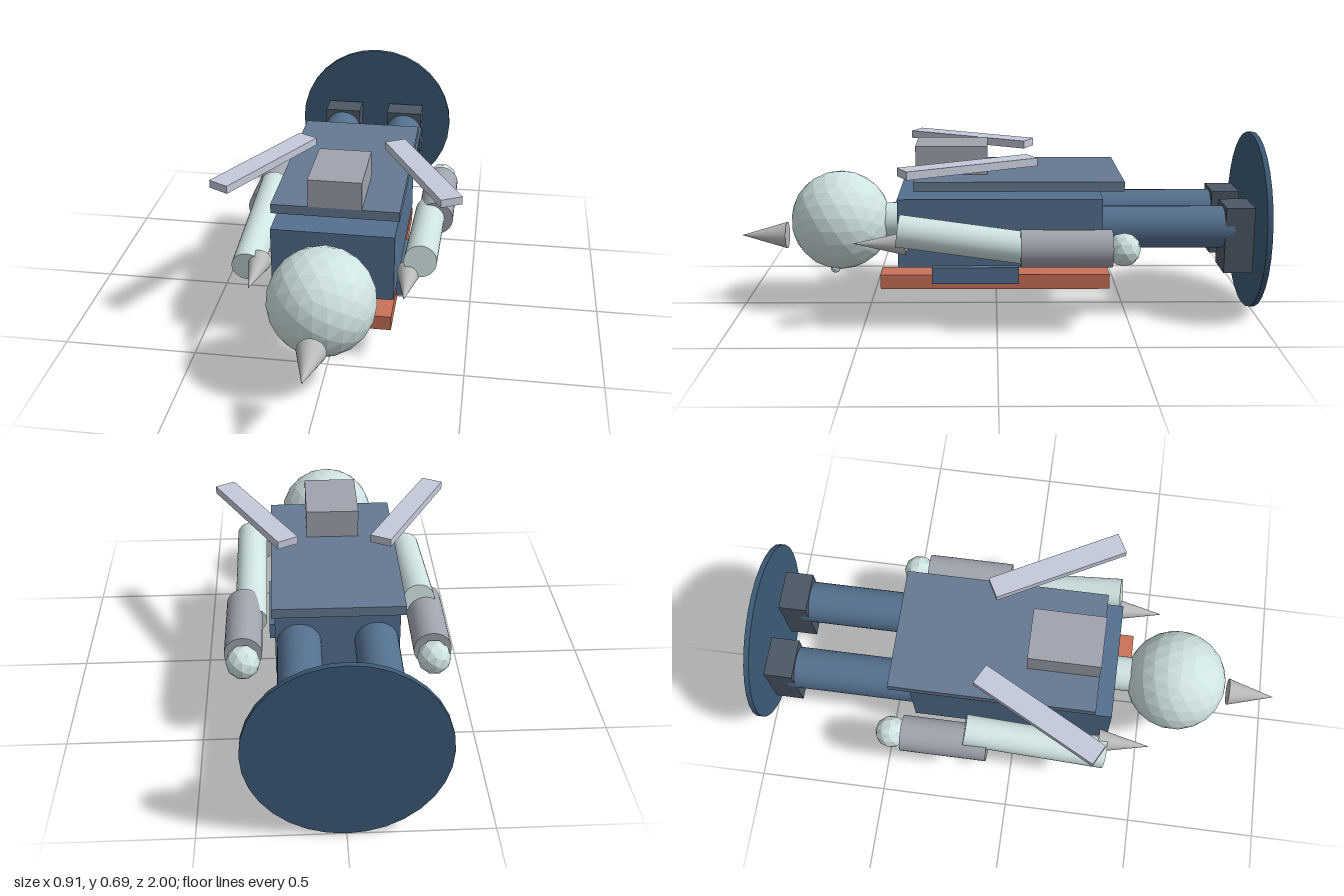
import * as THREE from 'three';

const mat = (color, flatShading = false) => new THREE.MeshStandardMaterial({ color, flatShading });
const PALE = mat(0xcfe3e2), PALE_FLAT = mat(0xcfe3e2, true);
const NAVY = mat(0x3c5a76), BLUE = mat(0x54708f), SLATE = mat(0x667a92), BOOT = mat(0x4b5865);
const STEEL = mat(0xa0a4ae), SILVER = mat(0xc4cadb), METAL = mat(0xb8bab9);
const BRASS = mat(0xd9c582), RUST = mat(0xcb7258);

export function createModel() {
  const model = new THREE.Group();

  const add = (name, geometry, material, x, y, z) => {
    const mesh = new THREE.Mesh(geometry, material);
    mesh.name = name;
    mesh.position.set(x, y, z);
    model.add(mesh);
    return mesh;
  };
  // Box given by its limits on each axis
  const box = (name, material, [x0, x1], [y0, y1], [z0, z1]) =>
    add(name, new THREE.BoxGeometry(x1 - x0, y1 - y0, z1 - z0), material,
      (x0 + x1) / 2, (y0 + y1) / 2, (z0 + z1) / 2);
  // Cylinder or cone lying along z, pointing to the front
  const rod = (name, material, x, y, z0, z1, rBack, rFront = rBack) => {
    const g = new THREE.CylinderGeometry(rFront, rBack, z1 - z0, 32).rotateX(Math.PI / 2);
    return add(name, g, material, x, y, (z0 + z1) / 2);
  };
  const ball = (name, material, r, detail, x, y, z) =>
    add(name, new THREE.IcosahedronGeometry(r, detail), material, x, y, z);

  // Base disc, trunk and plates
  rod('baseDisc', NAVY, 0, 0.343, -1, -0.98, 0.343);
  box('torso', BLUE, [-0.226, 0.226], [0.216, 0.477], [-0.393, 0.37]);
  box('chestPlate', BLUE, [-0.252, 0.252], [0.158, 0.222], [-0.083, 0.243]);
  box('backPlate', SLATE, [-0.236, 0.236], [0.509, 0.545], [-0.47, 0.307]);
  box('backpack', STEEL, [-0.099, 0.099], [0.545, 0.653], [0.035, 0.307]);

  // Head, neck and spike
  rod('neck', PALE, 0, 0.343, 0.35, 0.46, 0.067);
  ball('head', PALE_FLAT, 0.193, 3, 0, 0.343, 0.608);
  rod('headSpike', METAL, 0, 0.281, 0.822, 1, 0.052, 0);

  // Rail and two rows of pouches on the chest side
  box('rail', RUST, [0.12, 0.225], [0.13, 0.186], [-0.425, 0.438]);
  for (const z of [0.21, 0.3])
    for (let i = -2; i <= 2; i++)
      box('pouch', BRASS, [i * 0.0945 - 0.028, i * 0.0945 + 0.028], [0.132, 0.158], [z - 0.019, z + 0.019]);

  // Mirrored pairs
  for (const s of [-1, 1]) {
    rod('leg', BLUE, s * 0.14, 0.35, -0.89, -0.38, 0.08);
    box('foot', BOOT, [s * 0.14 - 0.077, s * 0.14 + 0.077], [0.188, 0.44], [-0.963, -0.855]);
    ball('eye', PALE_FLAT, 0.019, 1, s * 0.057, 0.163, 0.63);

    // The two upper arms tilt in opposite directions
    const upperArm = rod('upperArm', PALE, s * 0.318, 0.345, -0.178, 0.364, 0.06);
    upperArm.rotation.x = -s * 0.14;
    rod('forearm', STEEL, s * 0.343, 0.322, -0.417, -0.085, 0.069);
    ball('hand', PALE_FLAT, 0.062, 1, s * 0.343, 0.318, -0.46);
    rod('shoulderSpike', METAL, s * 0.276, 0.323, 0.335, 0.53, 0.044, 0);

    const wing = add('wing', new THREE.BoxGeometry(0.083, 0.03, 0.525), SILVER, s * 0.295, 0.615, 0.102);
    wing.rotation.y = s * 0.49;
  }

  return model;
}
